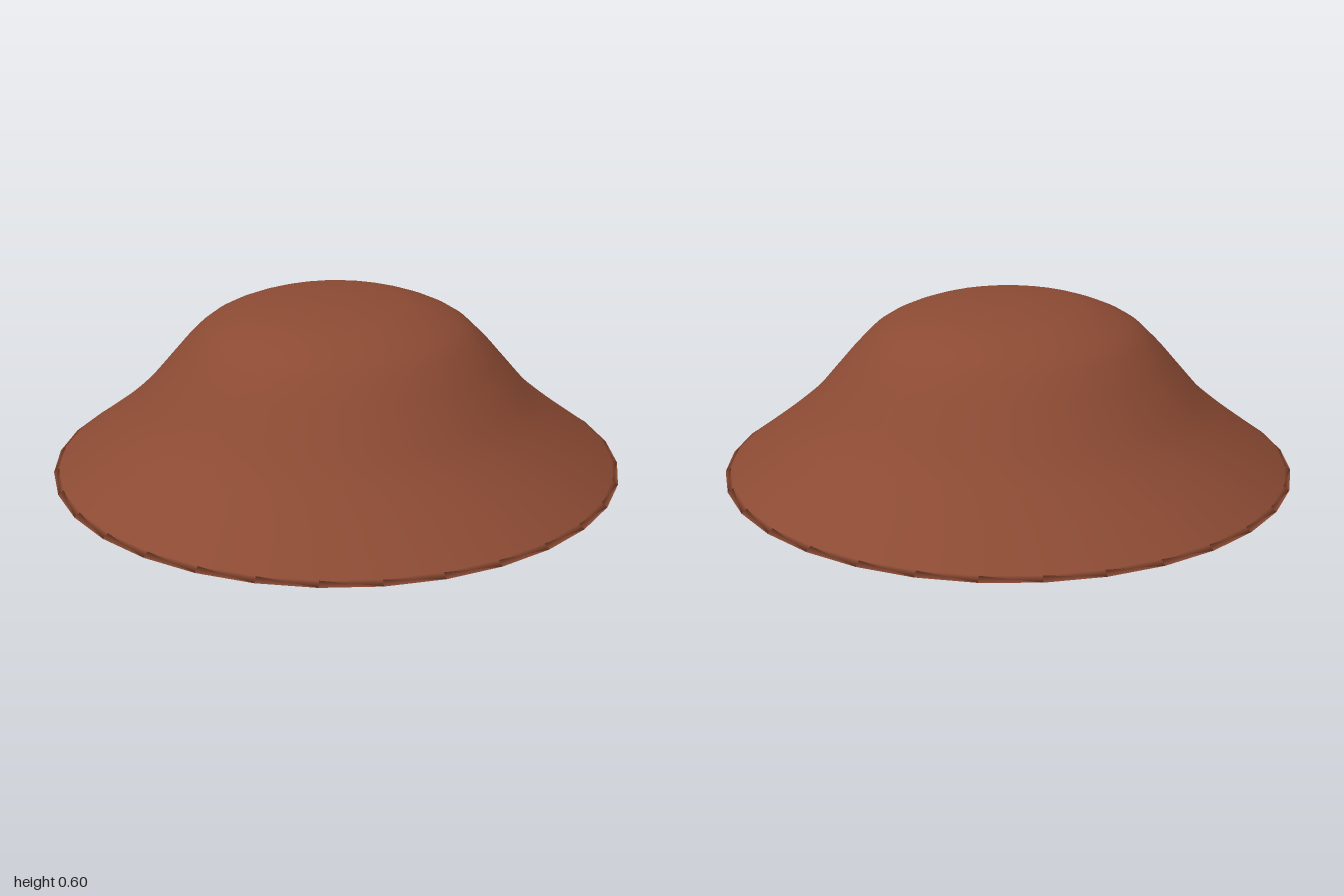
import * as THREE from 'three';

export function createModel() {
  const group = new THREE.Group();
  group.name = 'moundModel';
  const material = new THREE.MeshStandardMaterial({ color: 0x8b4a33 });

  // Smooth slope from the rim up to the rounded top
  const slope = new THREE.SplineCurve([
    [0.98, 0.014], [0.9, 0.073], [0.8, 0.15], [0.7, 0.238], [0.6, 0.353],
    [0.52, 0.445], [0.44, 0.513], [0.31, 0.567], [0.2, 0.588], [0.1, 0.598], [0, 0.6],
  ].map(([r, y]) => new THREE.Vector2(r, y))).getPoints(40);
  slope[slope.length - 1].x = 0;

  // Flat underside, softly shaded thin rim, then the slope
  const profile = [
    new THREE.Vector2(0, 0),
    new THREE.Vector2(0.5, 0),
    new THREE.Vector2(0.88, 0),
    new THREE.Vector2(1, 0),
    ...slope,
  ];

  const mound = new THREE.Mesh(new THREE.LatheGeometry(profile, 32), material);
  mound.name = 'mound';
  group.add(mound);
  return group;
}
